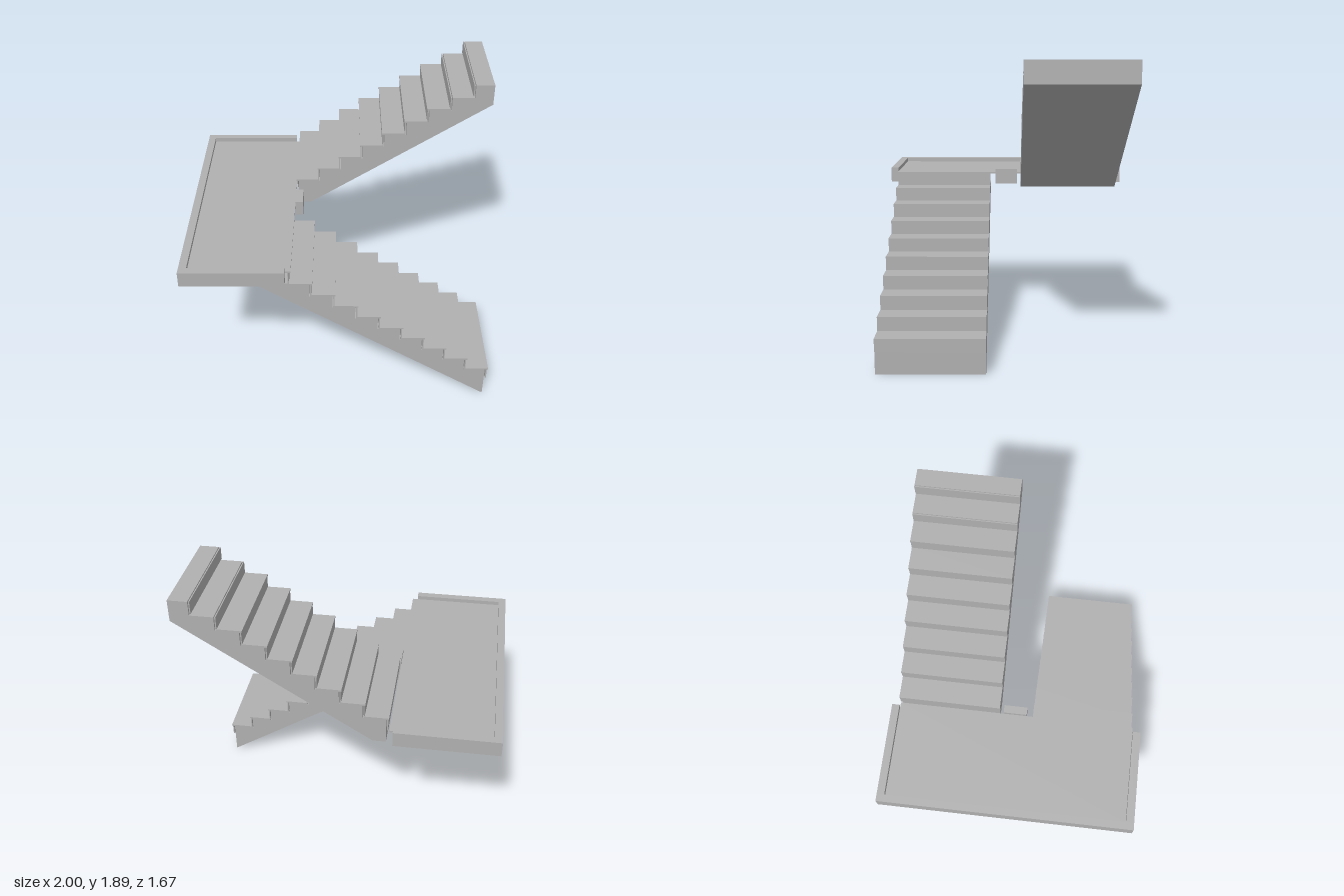
import * as THREE from 'three';

const RUN = 0.146, RISE = 0.0922, PLATE = 0.011;
const FLIGHT_WIDTH = 0.675;

export function createModel() {
  const concrete = new THREE.MeshStandardMaterial({ color: 0xb0b0b0 });
  concrete.name = 'grey concrete';
  const model = new THREE.Group();
  model.name = 'staircase';

  // Box given by its minimum and maximum corners
  function block(name, x0, x1, y0, y1, z0, z1, parent = model) {
    const mesh = new THREE.Mesh(new THREE.BoxGeometry(x1 - x0, y1 - y0, z1 - z0), concrete);
    mesh.position.set((x0 + x1) / 2, (y0 + y1) / 2, (z0 + z1) / 2);
    mesh.name = name;
    parent.add(mesh);
  }

  // Stepped side profile extruded across the flight
  function body(name, points, z0, parent) {
    const shape = new THREE.Shape(points.map(([x, y]) => new THREE.Vector2(x, y)));
    const geo = new THREE.ExtrudeGeometry(shape, { depth: FLIGHT_WIDTH, bevelEnabled: false });
    geo.translate(0, 0, z0);
    const mesh = new THREE.Mesh(geo, concrete);
    mesh.name = name;
    parent.add(mesh);
  }

  // Lower flight, climbing towards -x
  const lower = new THREE.Group();
  lower.name = 'lowerFlight';
  model.add(lower);
  const lz0 = 0.11, lz1 = lz0 + FLIGHT_WIDTH;
  const lowerProfile = [[-0.545, 0.969], [0.97, 0]];
  for (let i = 0; i < 9; i++) {
    const nose = 0.992 - RUN * i, top = 0.23 + RISE * i;
    const face = nose - 0.021;
    lowerProfile.push([face, top - PLATE], [i < 8 ? face - RUN : -0.33, top - PLATE]);
    block('lowerTread', nose - RUN - 0.016, nose, top - PLATE, top, lz0, lz1, lower);
    block('lowerRiser', nose - 0.015, nose - 0.007, i ? top - RISE : 0.145, top - PLATE, lz0, lz1, lower);
  }
  lowerProfile.push([-0.33, 0.969]);
  body('lowerBody', lowerProfile, lz0, lower);
  block('lowerTopRiser', -0.329, -0.321, 0.968, 1.054, lz0, lz1, lower);

  // Upper flight, climbing towards +x, ending in a flat block
  const upper = new THREE.Group();
  upper.name = 'upperFlight';
  model.add(upper);
  const uz1 = -0.11, uz0 = uz1 - FLIGHT_WIDTH;
  const upperProfile = [[1, 1.745], [-0.205, 0.975], [-0.29, 0.975]];
  for (let i = 0; i < 9; i++) {
    const nose = -0.306 + RUN * i, top = 1.159 + RISE * i;
    const face = nose + 0.016;
    upperProfile.push([face, top - PLATE], [i < 8 ? face + RUN : 1, top - PLATE]);
    if (i < 7) block('upperTread', nose, nose + RUN + 0.012, top - PLATE, top, uz0, uz1, upper);
    block('upperRiser', nose + 0.004, nose + 0.011, top - RISE, top - PLATE, uz0, uz1, upper);
  }
  body('upperBody', upperProfile, uz0, upper);

  // Landing floor with a raised rim on three sides
  block('landingFloor', -0.95, -0.309, 1.054, 1.066, -0.785, 0.785);
  block('rimSide', -1, -0.95, 0.99, 1.093, -0.837, 0.837);
  block('rimBack', -0.95, -0.335, 0.99, 1.093, -0.837, -0.787);
  block('rimFront', -0.95, -0.345, 0.99, 1.093, 0.785, 0.837);

  // Short curb between the two flights
  block('middleCurb', -0.309, -0.257, 0.99, 1.093, -0.085, 0.07);

  return model;
}
